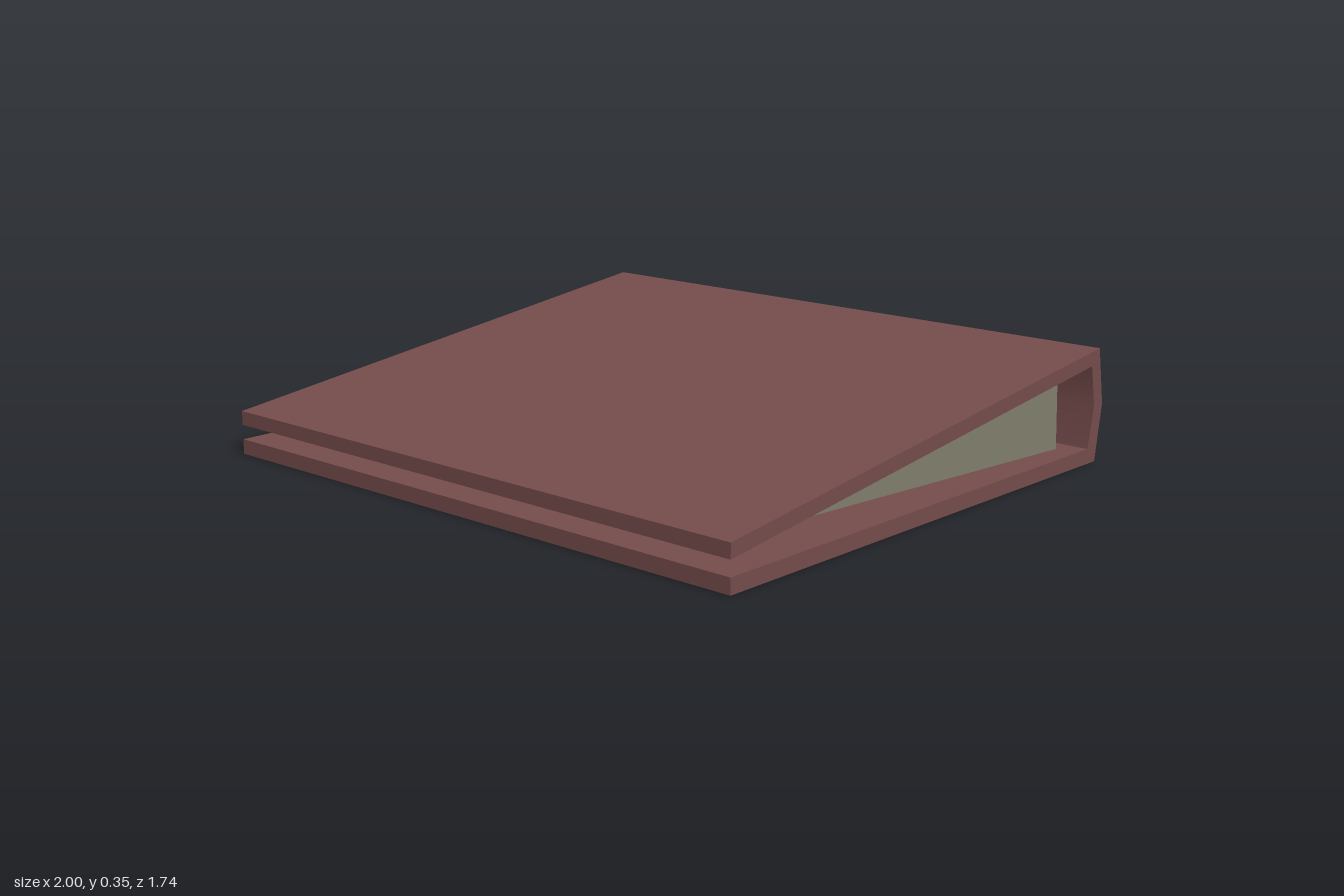
import * as THREE from 'three';
import { mergeGeometries, toCreasedNormals } from 'three/addons/utils/BufferGeometryUtils.js';

const coverMat = new THREE.MeshStandardMaterial({ name: 'maroon cover', color: 0x754b4b });
const paperMat = new THREE.MeshStandardMaterial({ name: 'grey paper', color: 0x7f7c6b });
const rivetMat = new THREE.MeshStandardMaterial({ name: 'dull metal', color: 0x868a84 });

const FOLD_Y = 0.178; // height of the crease along the spine
const spineZ = (y) => -0.87 + 0.03 * Math.abs(y - FOLD_Y) / 0.177;

function part(group, name, geometry, material) {
  const mesh = new THREE.Mesh(geometry, material);
  mesh.name = name;
  group.add(mesh);
  return mesh;
}

// Bottom board, bent spine and sloping lid as one folded profile (z, y)
function coverGeometry() {
  const profile = [
    [0.87, 0], [-0.84, 0], [-0.87, FOLD_Y], [-0.84, 0.355], [0.87, 0.137], [0.87, 0.093],
    [-0.8, 0.305], [-0.823, FOLD_Y], [-0.797, 0.047], [0.87, 0.047],
  ];
  const shape = new THREE.Shape(profile.map(([z, y]) => new THREE.Vector2(-z, y)));
  const geo = new THREE.ExtrudeGeometry(shape, { depth: 2, bevelEnabled: false });
  geo.translate(0, 0, -1).rotateY(Math.PI / 2);
  return toCreasedNormals(geo, 0.5);
}

// Wedge of paper, narrower and lower at the front
function paperGeometry() {
  const geo = new THREE.BoxGeometry(2, 2, 2);
  const p = geo.attributes.position;
  for (let i = 0; i < p.count; i++) {
    const back = p.getZ(i) < 0, top = p.getY(i) > 0;
    p.setXYZ(i,
      p.getX(i) * (back ? 0.93 : 0.79),
      top ? (back ? 0.293 : 0.117) : 0.048,
      back ? (top ? -0.72 : -0.73) : 0.667);
  }
  geo.computeVertexNormals();
  return geo;
}

// Rounded label made of two halves that follow the crease of the spine
function labelGeometry() {
  const w = 0.32, h = 0.112, r = 0.04;
  const shape = new THREE.Shape();
  shape.moveTo(-w, 0);
  shape.lineTo(w, 0);
  shape.lineTo(w, h - r);
  shape.quadraticCurveTo(w, h, w - r, h);
  shape.lineTo(-w + r, h);
  shape.quadraticCurveTo(-w, h, -w, h - r);
  const upper = new THREE.ShapeGeometry(shape, 6);
  const lower = upper.clone().rotateZ(Math.PI);
  const geo = mergeGeometries([upper, lower]).rotateY(Math.PI).translate(-0.37, FOLD_Y, 0);
  const p = geo.attributes.position;
  for (let i = 0; i < p.count; i++) p.setZ(i, spineZ(p.getY(i)) - 0.003);
  return toCreasedNormals(geo, 0.5);
}

export function createModel() {
  const model = new THREE.Group();
  model.name = 'binder';
  part(model, 'cover', coverGeometry(), coverMat);
  part(model, 'paperStack', paperGeometry(), paperMat);
  part(model, 'spineLabel', labelGeometry(), paperMat);

  // Small rivets near the upper ends of the spine
  for (const side of [-1, 1]) {
    const rivet = part(model, side > 0 ? 'leftRivet' : 'rightRivet',
      new THREE.CylinderGeometry(0.016, 0.016, 0.008, 12), rivetMat);
    rivet.rotation.x = -Math.PI / 2 + 0.168;
    rivet.position.set(side * 0.92, 0.278, spineZ(0.278));
  }
  return model;
}
